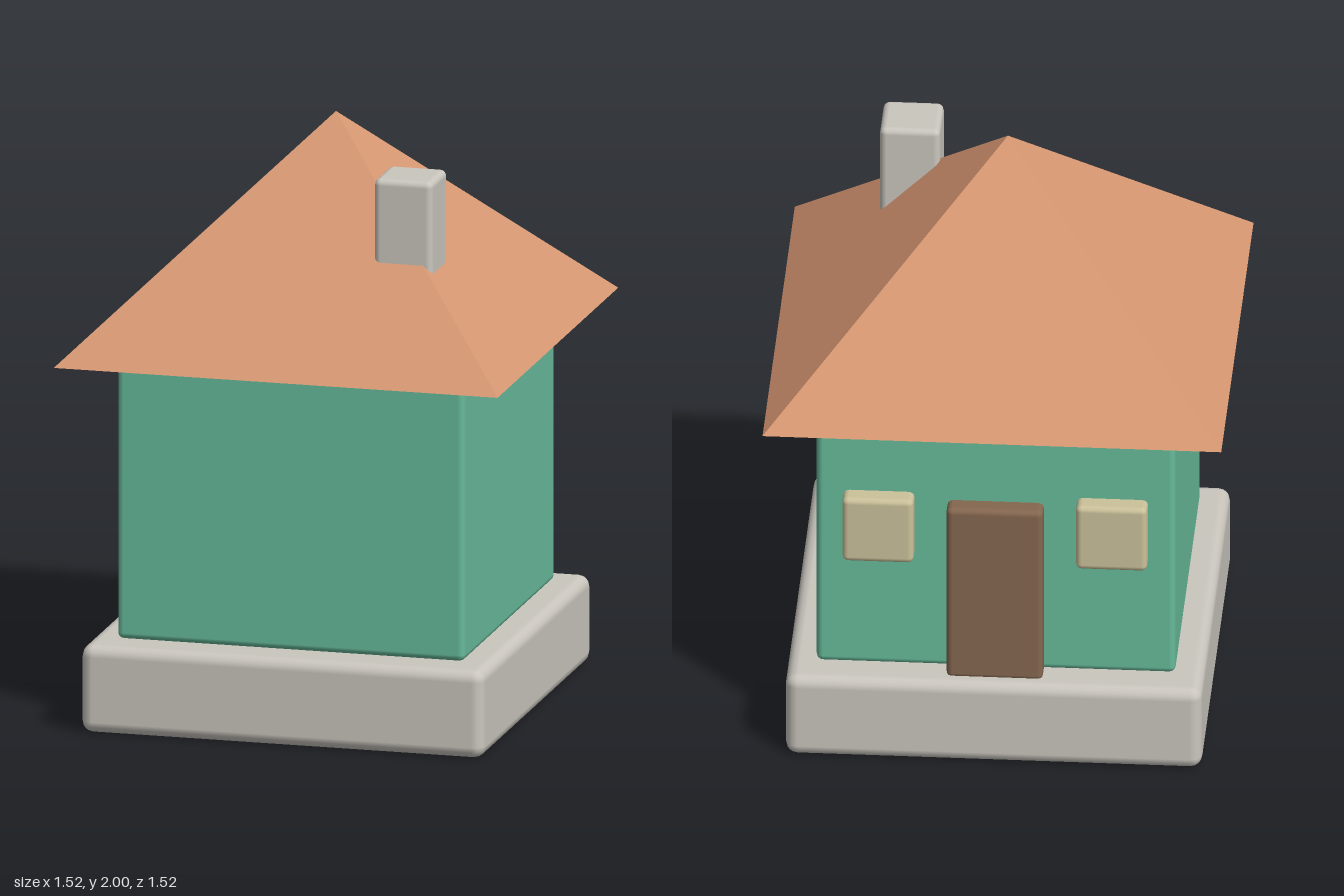
import * as THREE from 'three';
import { RoundedBoxGeometry } from 'three/addons/geometries/RoundedBoxGeometry.js';

function material(name, color) {
  const m = new THREE.MeshStandardMaterial({ color });
  m.name = name;
  return m;
}

export function createModel() {
  const house = new THREE.Group();
  house.name = 'house';

  const stone = material('stone', 0xcac6be);
  const wallGreen = material('wallGreen', 0x67bb9b);
  const roofClay = material('roofClay', 0xd79772);
  const doorBrown = material('doorBrown', 0x85674f);
  const windowCream = material('windowCream', 0xcbc19a);

  // Soft-edged box given by its minimum and maximum corners
  function block(name, mat, min, max, radius) {
    const [w, h, d] = max.map((v, i) => v - min[i]);
    const mesh = new THREE.Mesh(new RoundedBoxGeometry(w, h, d, 2, radius), mat);
    mesh.position.set((min[0] + max[0]) / 2, (min[1] + max[1]) / 2, (min[2] + max[2]) / 2);
    mesh.name = name;
    house.add(mesh);
  }

  // Foundation and walls
  block('foundation', stone, [-0.69, 0, -0.69], [0.69, 0.3, 0.69], 0.04);
  block('walls', wallGreen, [-0.595, 0.3, -0.575], [0.595, 1.27, 0.575], 0.022);

  // Four-sided pyramid roof with a closed underside
  const roofGeometry = new THREE.CylinderGeometry(0, 0.76 * Math.SQRT2, 0.74, 4)
    .rotateY(Math.PI / 4)
    .toNonIndexed();
  roofGeometry.computeVertexNormals();
  const roof = new THREE.Mesh(roofGeometry, roofClay);
  roof.position.y = 1.63;
  roof.name = 'roof';
  house.add(roof);

  // Chimney, sunk into the roof slope
  block('chimney', stone, [0.24, 1.42, 0.21], [0.44, 1.885, 0.41], 0.022);

  // Door and a pair of windows on the back wall
  block('door', doorBrown, [-0.16, 0.29, -0.64], [0.16, 0.935, -0.55], 0.02);
  for (const [name, x] of [['leftWindow', 0.387], ['rightWindow', -0.387]]) {
    block(name, windowCream, [x - 0.118, 0.72, -0.64], [x + 0.118, 0.96, -0.55], 0.02);
  }

  return house;
}
